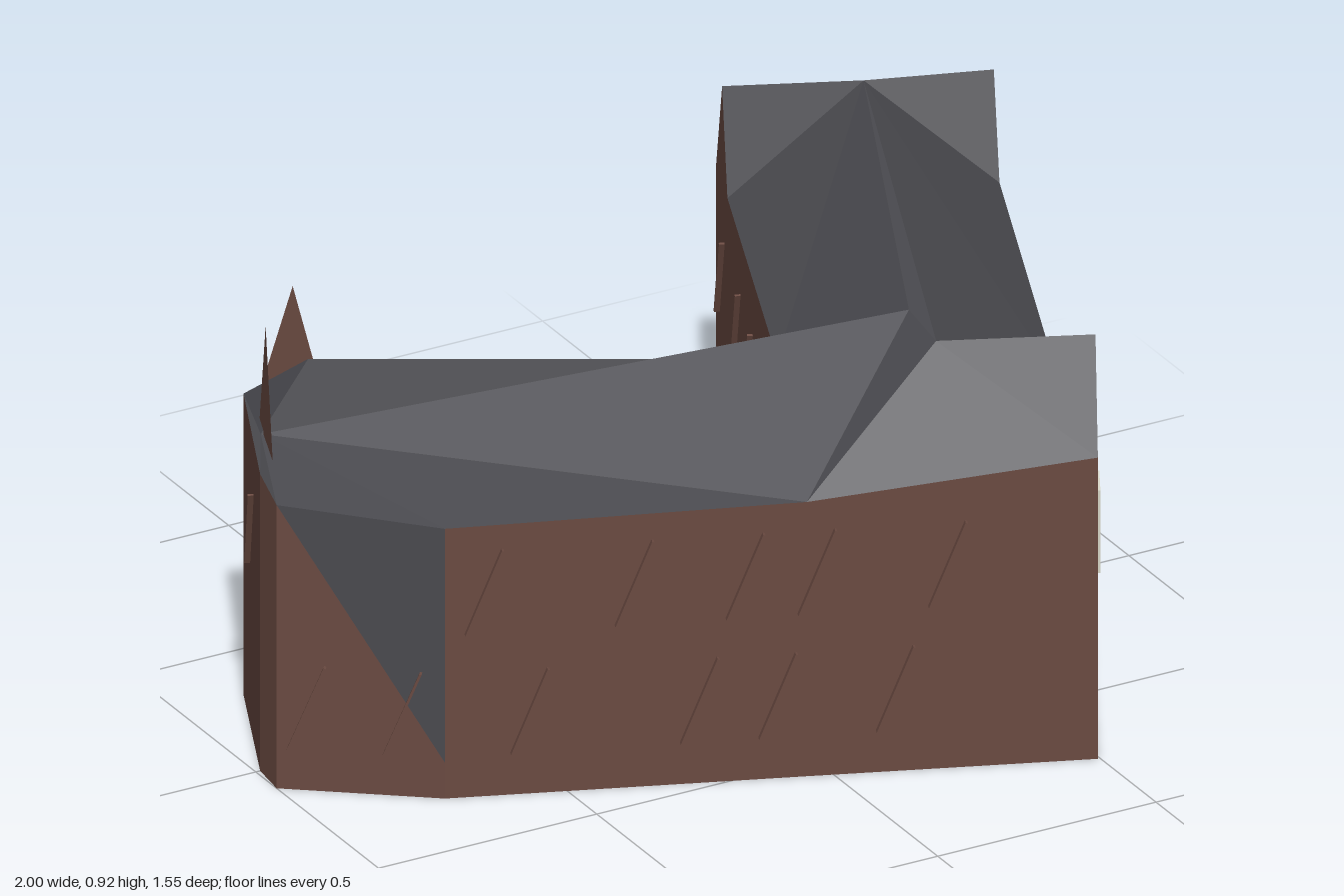
import * as THREE from 'three';

const material = (name, color) => {
  const m = new THREE.MeshStandardMaterial({ color, side: THREE.DoubleSide, flatShading: true });
  m.name = name;
  return m;
};

// Flat polygons (arrays of [x, y, z]) as one faceted mesh; "up" turns every face skyward
function faces(name, mat, polygons, up = false) {
  const pos = [];
  const a = new THREE.Vector3(), b = new THREE.Vector3();
  for (const p of polygons) {
    for (let i = 1; i < p.length - 1; i++) {
      let tri = [p[0], p[i], p[i + 1]];
      a.fromArray(tri[1]).sub(b.fromArray(tri[0]));
      const n = a.clone().cross(new THREE.Vector3().fromArray(tri[2]).sub(b));
      if (up && n.y < 0) tri = [tri[0], tri[2], tri[1]];
      pos.push(...tri.flat());
    }
  }
  const g = new THREE.BufferGeometry();
  g.setAttribute('position', new THREE.Float32BufferAttribute(pos, 3));
  g.computeVertexNormals();
  const mesh = new THREE.Mesh(g, mat);
  mesh.name = name;
  return mesh;
}

export function createModel() {
  const model = new THREE.Group();
  model.name = 'building';
  const brick = material('brick', 0x6a4a41);
  const slate = material('slate', 0x4a4a4f);
  const cream = material('cream glass', 0xd6d5c6);

  // Eave corners, anticlockwise seen from above
  const D = [-0.73, 0.60, 0.29], C = [-0.05, 0.61, 0.556], S = [0.495, 0.67, 0.772];
  const E1 = [0.65, 0.69, 0.472], E2 = [0.587, 0.68, 0.45];
  const EG = [0.934, 0.67, -0.41], NE = [1, 0.66, -0.573];
  const NW = [0.49, 0.66, -0.775], WG = [0.426, 0.67, -0.615];
  const I = [0.155, 0.67, 0.07], K = [-0.85, 0.67, -0.317];
  const M = [-0.99, 0.66, 0], L = [-1, 0.63, 0.085];
  // Ridge points and gable peaks
  const B = [0.305, 0.86, 0.34], P = [0.283, 0.86, 0.49], GP = [0.575, 0.86, 0.62];
  const RE = [0.735, 0.86, -0.61], EP = [0.966, 0.88, -0.49], WP = [0.456, 0.88, -0.69];
  const A = [-0.91, 0.67, -0.14], R = [-0.79, 0.80, -0.16];

  // Walls: each runs along its top points and drops to the ground
  const ground = (p) => [p[0], 0, p[2]];
  const wall = (...top) => {
    const first = top[0], last = top[top.length - 1];
    // Fan from the ground so that gable tops are filled correctly
    return [ground(first), ground(last), ...top.slice().reverse()];
  };
  const drop = (a, b) => wall(a, b);
  const split = [-0.73, 0.08, 0.29];
  model.add(faces('walls', brick, [
    drop(D, C), drop(C, S), drop(S, E1), [S, E1, GP], drop(E1, E2),
    drop(E2, EG), drop(EG, NE), [EG, NE, EP],
    drop(NE, NW), drop(NW, WG), [NW, WG, WP], drop(WG, I), drop(I, K),
    drop(K, M), drop(M, L), [ground(L), ground(D), split, L],
  ]));
  model.add(faces('slateWallPanel', slate, [[L, split, D]]));

  // Roof: west wing, corner gable, then the north wing with its cross gables
  model.add(faces('westRoof', slate, [
    [R, I, K], [R, K, A], [A, I, R], [A, I, B], [A, B, C],
    [A, C, D], [A, D, L], [A, L, M], [A, M, K],
  ], true));
  model.add(faces('cornerRoof', slate, [[C, B, P], [P, C, S, GP], [P, GP, E1, E2]], true));
  model.add(faces('northRoof', slate, [
    [RE, I, B], [RE, WG, I], [RE, B, P], [RE, P, E2], [RE, E2, EG],
    [RE, EG, EP], [RE, EP, NE], [RE, NE, NW], [RE, NW, WP], [RE, WP, WG],
  ], true));

  // Free-standing gable points at the west end
  model.add(faces('westGables', brick, [
    [[-0.71, 0.67, -0.245], [-0.84, 0.67, -0.28], [-0.775, 0.92, -0.25]],
    [[-0.885, 0.67, -0.19], [-0.95, 0.67, -0.02], [-0.91, 0.92, -0.12]],
  ]));

  // Windows: a slanted sliver outside and a pane on the inner wall face
  const slitGeo = new THREE.BoxGeometry(0.005, 0.2, 0.024);
  const paneShape = new THREE.Shape([
    [-0.042, -0.09], [0.042, -0.09], [0.042, 0.06], [0.018, 0.095], [-0.042, 0.085],
  ].map(([x, y]) => new THREE.Vector2(x, y)));
  const paneGeo = new THREE.ExtrudeGeometry(paneShape, { depth: 0.006, bevelEnabled: false });
  const mount = (a, b, t, y) => {
    const g = new THREE.Group();
    g.position.set(a[0] + (b[0] - a[0]) * t, y, a[2] + (b[2] - a[2]) * t);
    g.rotation.y = Math.atan2(a[2] - b[2], b[0] - a[0]);
    model.add(g);
    return g;
  };
  const windows = (a, b, rows) => rows.forEach((row, r) => row.forEach((t, i) => {
    const g = mount(a, b, t, r ? 0.185 : 0.455);
    g.name = 'window';
    const slit = new THREE.Mesh(slitGeo, brick);
    slit.name = 'windowSliver';
    slit.rotation.z = -0.38;
    const pane = new THREE.Mesh(paneGeo, (i + r) % 3 === 1 ? cream : slate);
    pane.name = 'windowPane';
    pane.position.z = -0.012;
    g.add(slit, pane);
  }));
  windows(D, S, [[0.06, 0.29, 0.46, 0.57, 0.77], [0.13, 0.39, 0.51, 0.69]]);
  windows(E2, NE, [[0.12, 0.3, 0.48, 0.72, 0.92], [0.12, 0.3, 0.48, 0.75, 0.92]]);
  windows(NE, NW, [[0.2, 0.42, 0.64], [0.2, 0.42]]);
  windows(NW, I, [[0.1, 0.36, 0.56, 0.72], [0.1, 0.36, 0.56, 0.82]]);
  windows(I, K, [[0.15, 0.32, 0.5, 0.66, 0.84], [0.15, 0.32, 0.5, 0.66, 0.84]]);
  windows(K, M, [[0.5], []]);
  windows(L, D, [[], [0.18, 0.75]]);

  // Glazed window in the corner gable
  const glass = new THREE.Mesh(paneGeo, cream);
  glass.name = 'gableWindow';
  glass.position.z = 0.003;
  glass.scale.set(1.15, 1.05, 1);
  const gable = mount(S, E1, 0.46, 0.455);
  gable.name = 'gableWindowMount';
  gable.add(glass);

  return model;
}
